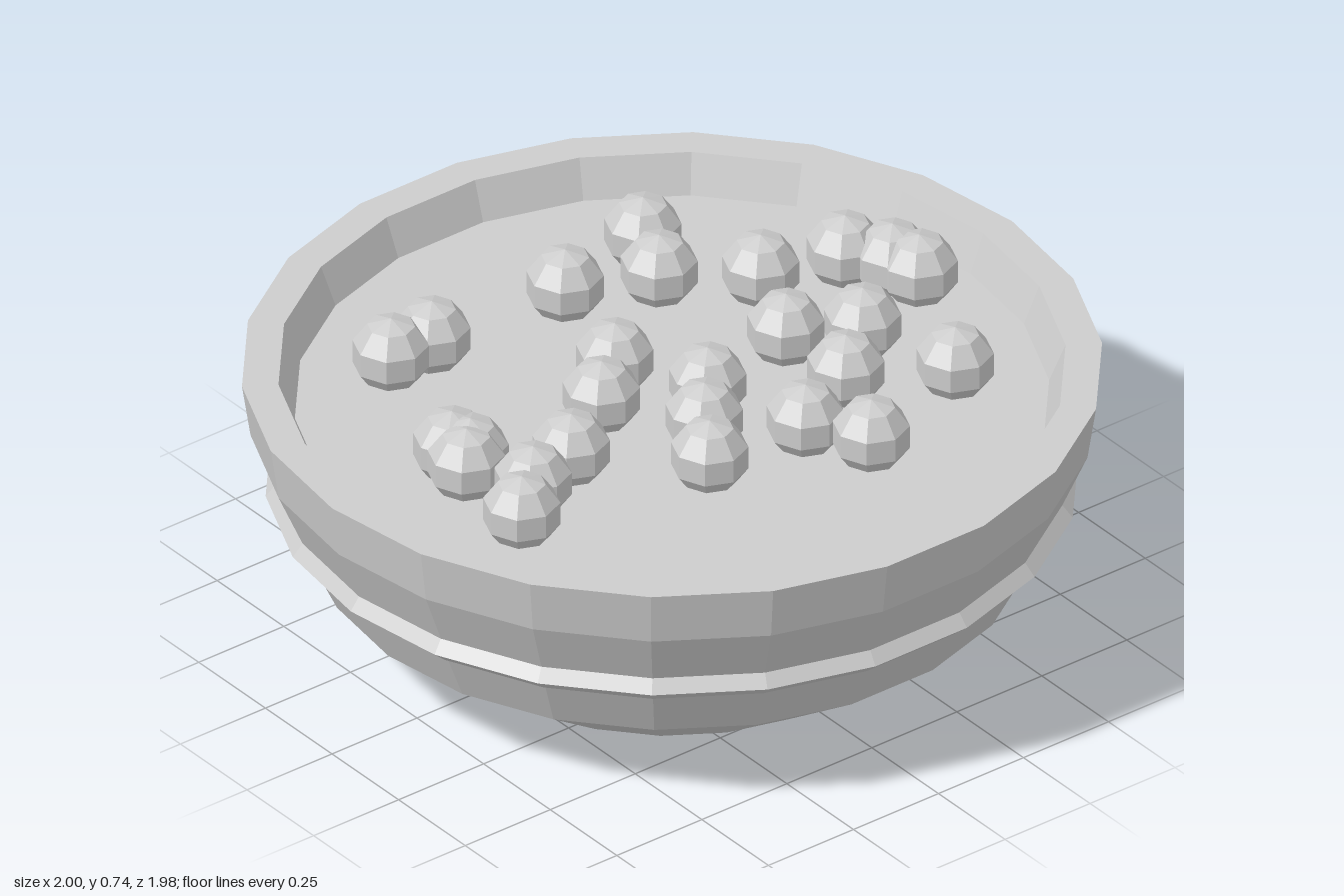
import * as THREE from 'three';

const SIDES = 22;

// Turned part from [radius, height] pairs, with a corner on the x axis
function turned(name, profile, material) {
  const points = profile.map(([r, y]) => new THREE.Vector2(r, y));
  const mesh = new THREE.Mesh(new THREE.LatheGeometry(points, SIDES, Math.PI / 2), material);
  mesh.name = name;
  return mesh;
}

export function createModel() {
  const group = new THREE.Group();
  group.name = 'bowl';
  const grey = new THREE.MeshStandardMaterial({ color: 0xcccccc, flatShading: true });
  grey.name = 'plain grey';

  // Bowl body: base, flared wall, flat rim and inner wall
  group.add(turned('bowlBody', [
    [0, 0], [0.54, 0], [0.835, 0.205], [0.895, 0.335], [0.92, 0.4],
    [0.98, 0.54], [1, 0.675], [0.915, 0.675], [0.875, 0.575],
  ], grey));

  // Raised band around the wall
  group.add(turned('band', [[0.89, 0.335], [0.905, 0.335], [0.945, 0.37], [0.918, 0.405]], grey));

  // Filling surface
  group.add(turned('filling', [[0.88, 0.58], [0, 0.58]], grey));

  // Round pieces floating in the filling, as [x, z]
  const spots = [
    [-0.45, -0.48], [-0.33, -0.48], [0.05, -0.465], [0.33, -0.53], [0.26, -0.38],
    [0.445, -0.235], [0.65, -0.18], [0.715, -0.085], [0.735, -0.01], [-0.055, -0.145],
    [-0.18, -0.035], [-0.585, -0.08], [-0.57, -0.03], [-0.605, 0], [-0.53, 0.155],
    [-0.63, 0.24], [-0.375, 0.1], [0.05, 0.07], [-0.05, 0.185], [-0.14, 0.32],
    [0.335, 0], [0.49, 0.09], [0.335, 0.225], [0.13, 0.335], [0.21, 0.48], [0.555, 0.355],
  ];
  const ball = new THREE.SphereGeometry(0.095, 8, 5);
  const pieces = new THREE.Group();
  pieces.name = 'roundPieces';
  for (const [x, z] of spots) {
    const piece = new THREE.Mesh(ball, grey);
    piece.name = 'roundPiece';
    piece.position.set(x, 0.643, z);
    pieces.add(piece);
  }
  group.add(pieces);
  return group;
}
